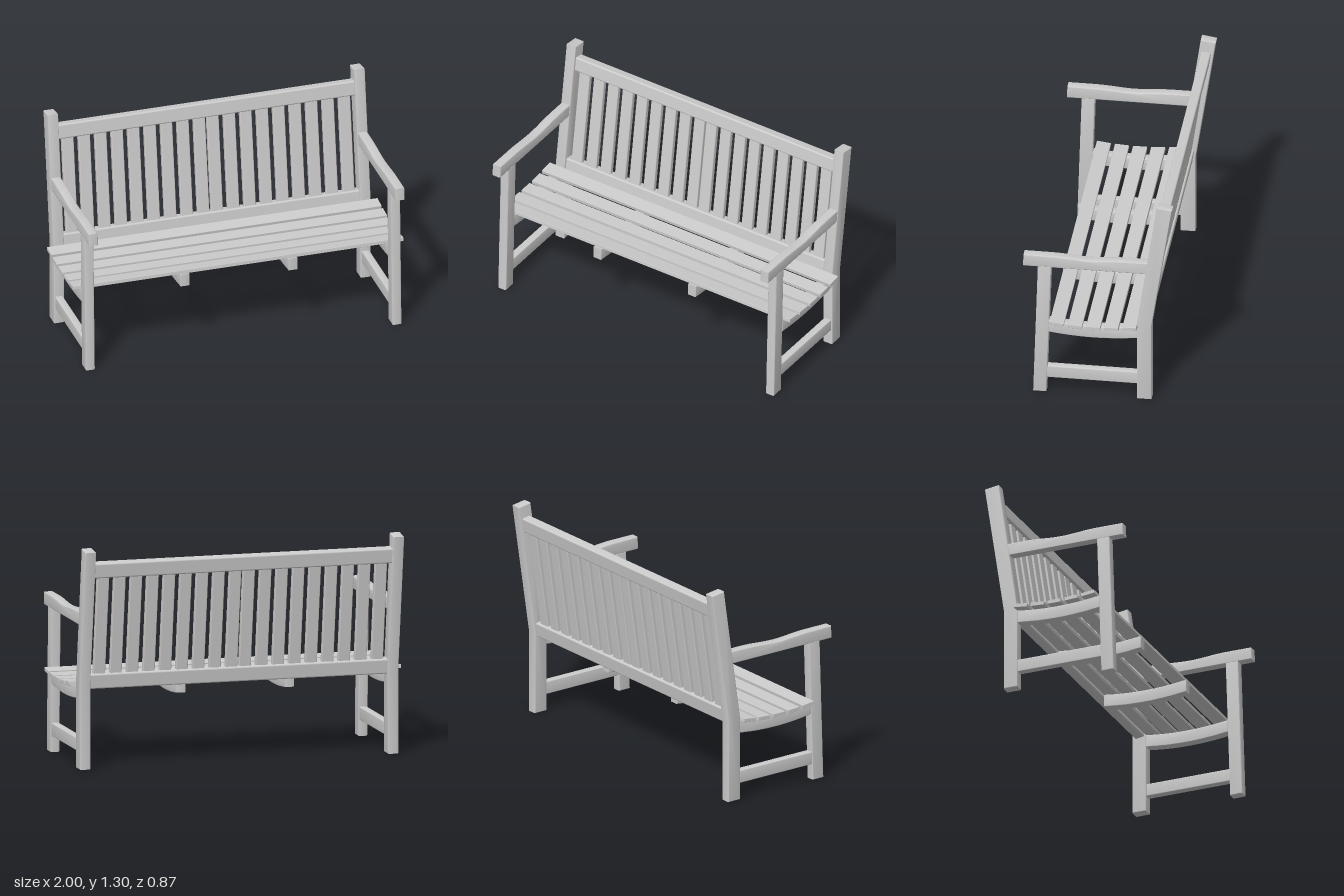
import * as THREE from 'three';
import { RoundedBoxGeometry } from 'three/addons/geometries/RoundedBoxGeometry.js';
import { toCreasedNormals } from 'three/addons/utils/BufferGeometryUtils.js';

const material = new THREE.MeshStandardMaterial({ color: 0xcccccc });
const legX = 0.928;
const tilt = -0.146; // backrest lean about x

// Side profile given as [z, y] points, extruded to a width along x with eased edges
function profile(points, width, bevel = 0.006) {
  const shape = new THREE.Shape(points.map(([z, y]) => new THREE.Vector2(z, y)));
  const geometry = new THREE.ExtrudeGeometry(shape, {
    depth: width - 2 * bevel, bevelEnabled: true, bevelThickness: bevel,
    bevelSize: bevel, bevelOffset: -bevel, bevelSegments: 3,
  });
  geometry.translate(0, 0, bevel - width / 2);
  geometry.rotateY(-Math.PI / 2);
  return toCreasedNormals(geometry, 0.6);
}

// Sagging curve of the seat: height above a base at depth z
const sag = (z) => 0.019 * ((z - 0.025) / 0.26) ** 2;
const sagSlope = (z) => 2 * 0.019 * (z - 0.025) / 0.26 ** 2;

// Centre line of the backrest
const backZ = (y) => -0.273 - 0.147 * (y - 0.5);

function bearerPoints() {
  const top = [], bottom = [];
  for (let i = 0; i <= 14; i++) {
    const z = -0.235 + (0.52 * i) / 14;
    bottom.push([z, 0.39 + sag(z)]);
    top.unshift([z, 0.465 + sag(z)]);
  }
  return [...bottom, ...top];
}

function armPoints() {
  const points = [[-0.29, 0.845], [0.435, 0.845], [0.431, 0.92]];
  for (let i = 0; i <= 16; i++) {
    const t = i / 16;
    const dip = 0.5 - 0.5 * Math.cos(t * Math.PI * 2);
    points.push([0.27 - 0.45 * t, 0.92 - 0.012 * dip]);
  }
  points.push([-0.3, 0.92]);
  return points;
}

export function createModel() {
  const bench = new THREE.Group();
  bench.name = 'gardenBench';

  const add = (name, geometry, x = 0, y = 0, z = 0, rx = 0) => {
    const mesh = new THREE.Mesh(geometry, material);
    mesh.name = name;
    mesh.position.set(x, y, z);
    mesh.rotation.x = rx;
    bench.add(mesh);
  };

  // Side frames
  const backLeg = profile([
    [-0.316, 0], [-0.23, 0], [-0.23, 0.5], [-0.347, 1.305], [-0.435, 1.292], [-0.316, 0.5],
  ], 0.064);
  const frontLeg = profile([[0.298, 0], [0.375, 0], [0.348, 0.85], [0.27, 0.85]], 0.056);
  const arm = profile(armPoints(), 0.056);
  const bearer = profile(bearerPoints(), 0.056, 0.004);
  const stretcher = profile([[-0.235, 0.096], [0.3, 0.096], [0.3, 0.173], [-0.235, 0.173]], 0.046);
  for (const [side, s] of [['left', 1], ['right', -1]]) {
    add(side + 'BackLeg', backLeg, s * legX);
    add(side + 'FrontLeg', frontLeg, s * legX);
    add(side + 'Armrest', arm, s * legX);
    add(side + 'SeatBearer', bearer, s * legX);
    add(side + 'Stretcher', stretcher, s * legX);
    add(side + 'MiddleBearer', bearer, s * 0.327);
  }

  // Seat slats resting on the curved bearers
  const seatSlat = new RoundedBoxGeometry(2, 0.022, 0.083, 2, 0.002);
  for (let i = 0; i < 5; i++) {
    const z = -0.192 + i * 0.106;
    add('seatSlat' + (i + 1), seatSlat, 0, 0.478 + sag(z), z, -Math.atan(sagSlope(z)));
  }

  // Backrest rails
  const rail = new RoundedBoxGeometry(1.81, 0.09, 0.058, 3, 0.01);
  add('topRail', rail, 0, 1.18, backZ(1.18), tilt);
  add('bottomRail', rail, 0, 0.515, backZ(0.515), tilt);

  // Backrest slats, two mirrored sets of nine
  const backSlat = new RoundedBoxGeometry(0.072, 0.62, 0.03, 3, 0.006);
  for (const s of [1, -1]) {
    for (let i = 0; i < 9; i++) {
      add('backSlat', backSlat, s * (0.041 + i * 0.0995), 0.847, backZ(0.847), tilt);
    }
  }
  return bench;
}
